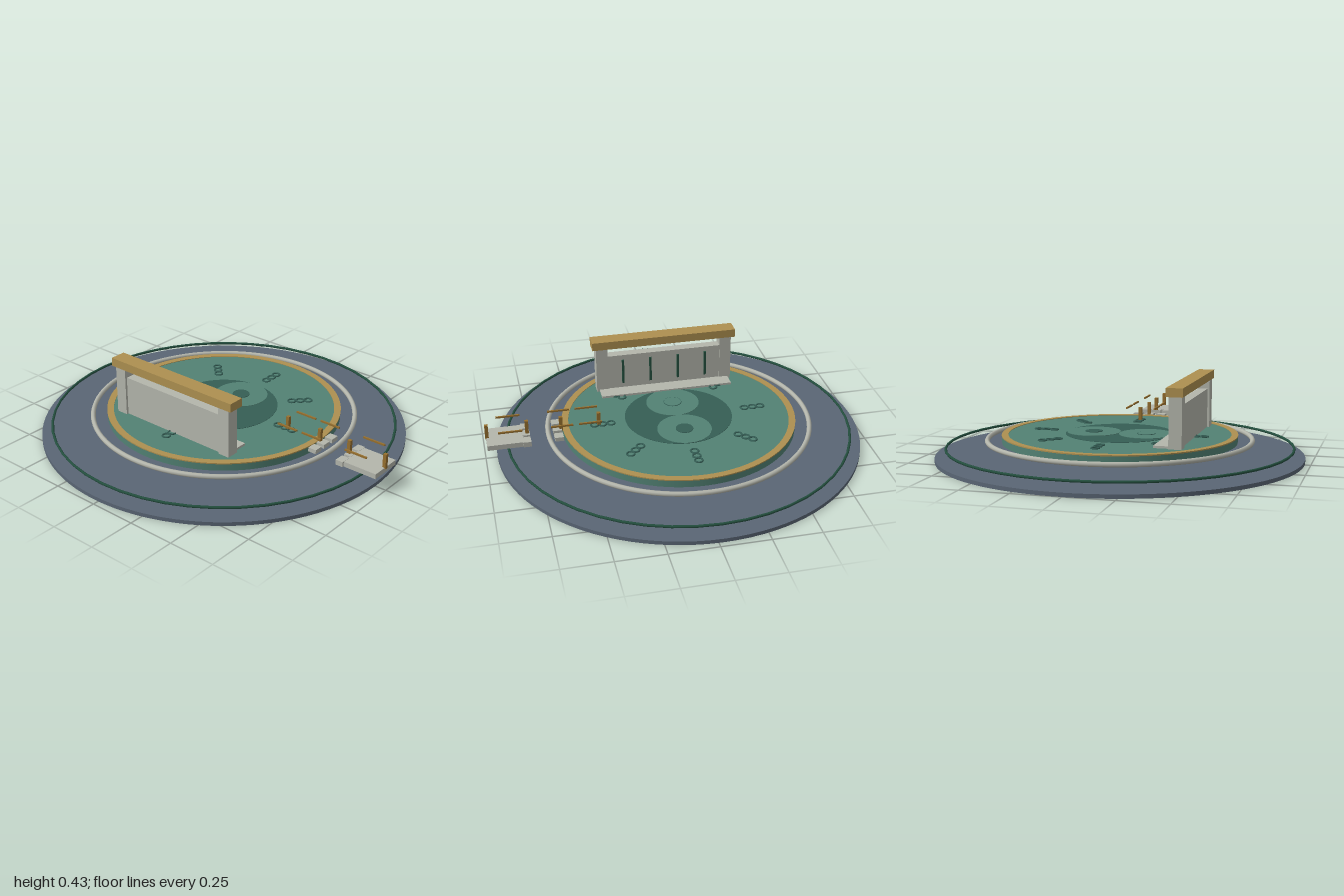
import * as THREE from 'three';

const mat = (name, color) => {
  const m = new THREE.MeshStandardMaterial({ color });
  m.name = name;
  return m;
};

export function createModel() {
  const slate = mat('slate', 0x5a6675);
  const jade = mat('jade', 0x528274);
  const darkJade = mat('darkJade', 0x355e55);
  const pine = mat('pine', 0x24503f);
  const stone = mat('stone', 0xb4b6ac);
  const gold = mat('gold', 0xae9050);
  const bronze = mat('bronze', 0x97702f);

  const model = new THREE.Group();
  model.name = 'courtyard';
  // The round court sits slightly to one side of the origin
  const court = new THREE.Group();
  court.name = 'court';
  court.position.x = -0.03;
  model.add(court);

  const add = (parent, name, geometry, material, x = 0, y = 0, z = 0) => {
    const mesh = new THREE.Mesh(geometry, material);
    mesh.name = name;
    mesh.position.set(x, y, z);
    parent.add(mesh);
    return mesh;
  };
  // Box and disc given by their limits
  const box = (parent, name, material, x0, x1, y0, y1, z0, z1) =>
    add(parent, name, new THREE.BoxGeometry(x1 - x0, y1 - y0, z1 - z0), material,
      (x0 + x1) / 2, (y0 + y1) / 2, (z0 + z1) / 2);
  const disc = (name, material, r, y0, y1, z = 0, segments = 64) =>
    add(court, name, new THREE.CylinderGeometry(r, r, y1 - y0, segments), material, 0, (y0 + y1) / 2, z);
  const hoop = (parent, name, material, r, tube, y, x = 0, z = 0, sides = 8, segments = 96) => {
    const g = new THREE.TorusGeometry(r, tube, sides, segments).rotateX(Math.PI / 2);
    return add(parent, name, g, material, x, y, z);
  };

  // Base, floating rings and raised floor
  disc('base', slate, 0.97, 0, 0.02, 0, 96);
  hoop(court, 'outerRing', pine, 0.913, 0.007, 0.063, 0, 0, 6, 48);
  hoop(court, 'middleRing', stone, 0.697, 0.013, 0.098);
  disc('floor', jade, 0.62, 0.085, 0.125, 0, 96);

  // Flat gold border around the floor
  const border = new THREE.Shape().absarc(0, 0, 0.622, 0, Math.PI * 2, false);
  border.holes.push(new THREE.Path().absarc(0, 0, 0.587, 0, Math.PI * 2, true));
  const borderGeometry = new THREE.ExtrudeGeometry(border, { depth: 0.006, bevelEnabled: false, curveSegments: 48 });
  add(court, 'floorBorder', borderGeometry.rotateX(-Math.PI / 2), gold, 0, 0.122, 0);

  // Central emblem: dark disc, two pale circles, two dots
  disc('emblem', darkJade, 0.286, 0.124, 0.127);
  for (const side of [-1, 1]) {
    disc('emblemCircle', jade, 0.143, 0.125, 0.129, side * 0.143, 48);
    disc('emblemDot', side < 0 ? darkJade : jade, 0.046, 0.126, 0.132, side * 0.143, 32);
  }
  hoop(court, 'emblemDotRim', darkJade, 0.047, 0.002, 0.13, 0, 0.143, 6, 32);

  // Eight spokes of three small rings
  for (let i = 0; i < 8; i++) {
    const a = (i * Math.PI) / 4;
    for (const r of [0.365, 0.41, 0.453]) {
      hoop(court, 'floorRing', darkJade, 0.02, 0.005, 0.127, Math.cos(a) * r, Math.sin(a) * r, 6, 20);
    }
  }

  // Gate wall
  const gate = new THREE.Group();
  gate.name = 'gate';
  court.add(gate);
  box(gate, 'lintel', gold, -0.4, 0.4, 0.385, 0.43, 0.34, 0.425);
  box(gate, 'wallPanel', stone, -0.32, 0.32, 0.125, 0.335, 0.354, 0.405);
  box(gate, 'ledge', stone, -0.365, 0.365, 0.125, 0.137, 0.27, 0.354);
  for (const side of [-1, 1]) {
    box(gate, 'gatePost', stone, side * 0.348 - 0.032, side * 0.348 + 0.032, 0.125, 0.385, 0.35, 0.417);
  }
  for (const x of [-0.232, -0.078, 0.078, 0.232]) {
    box(gate, 'wallStrip', pine, x - 0.006, x + 0.006, 0.165, 0.307, 0.345, 0.354);
  }

  // Side landing and stepping stones
  const walkway = new THREE.Group();
  walkway.name = 'walkway';
  model.add(walkway);
  box(walkway, 'landing', stone, 0.8, 0.99, 0.1, 0.127, -0.09, 0.087);
  for (const z of [-0.07, 0, 0.07]) {
    box(walkway, 'landingStone', stone, 0.765, 0.806, 0.1, 0.128, z - 0.027, z + 0.027);
    box(walkway, 'stepStone', stone, 0.597, 0.643, 0.11, 0.132, z - 0.024, z + 0.024);
  }

  // Bronze posts and thin floating rails
  for (const x of [0.4, 0.6, 0.778, 0.985]) {
    box(walkway, 'railPost', bronze, x - 0.009, x + 0.009, 0.12, 0.2, -0.009, 0.009);
  }
  for (const z of [-0.08, 0.08]) {
    for (const [x0, x1] of [[0.395, 0.515], [0.545, 0.66], [0.805, 0.93]]) {
      box(walkway, 'rail', bronze, x0, x1, 0.187, 0.196, z - 0.004, z + 0.004);
    }
  }
  return model;
}
